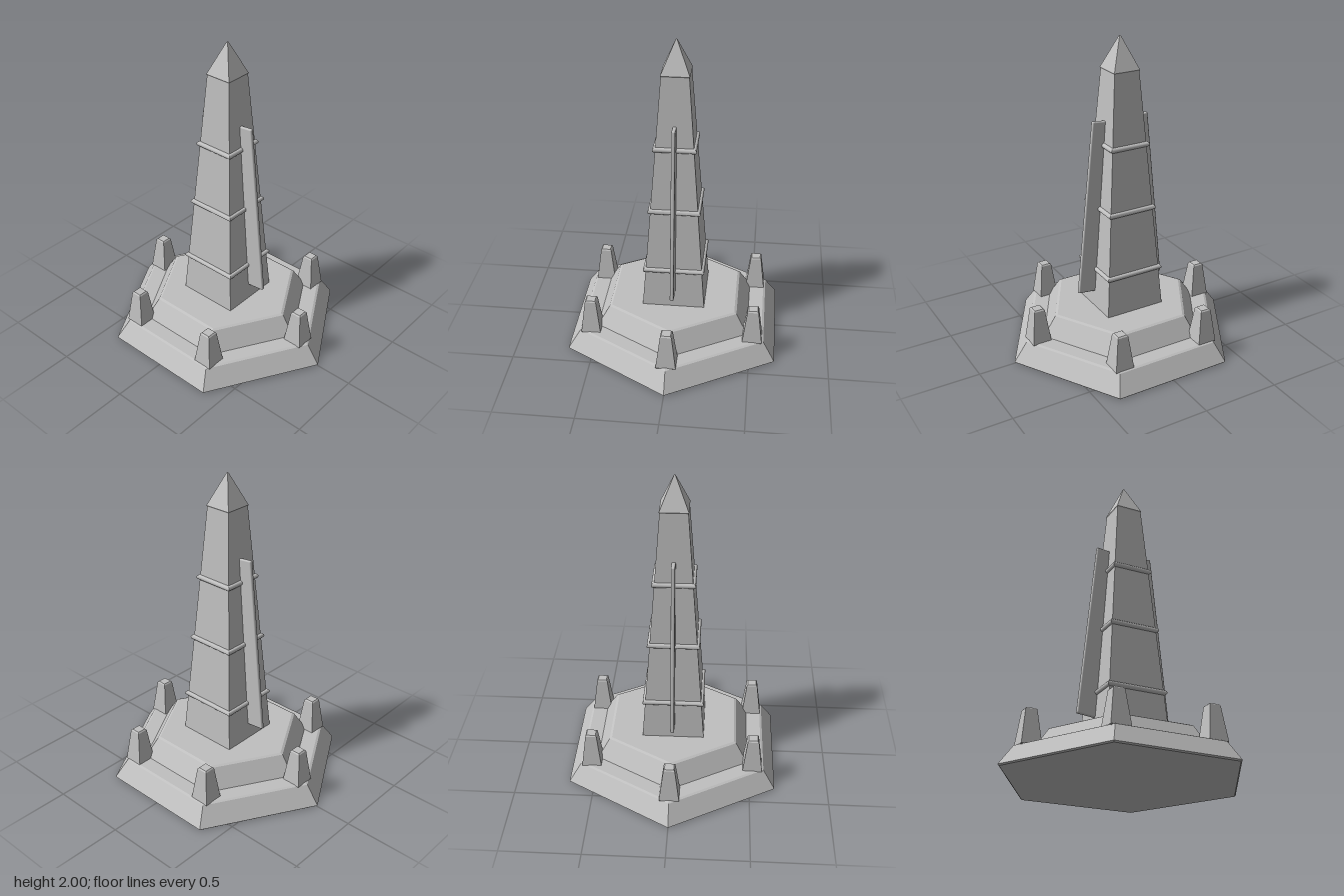
import * as THREE from 'three';
import { toCreasedNormals } from 'three/addons/utils/BufferGeometryUtils.js';
import { RoundedBoxGeometry } from 'three/addons/geometries/RoundedBoxGeometry.js';

const stone = new THREE.MeshStandardMaterial({ color: 0xc0c0c0 });
stone.name = 'grey stone';

const SQ = Math.SQRT2;

function part(name, geometry) {
  const mesh = new THREE.Mesh(geometry, stone);
  mesh.name = name;
  return mesh;
}

// Faceted solid from [radius, y] pairs, listed bottom to top
function faceted(profile, sides, turn = 0, crease = 0.05) {
  const points = profile.map(([r, y]) => new THREE.Vector2(r, y));
  return toCreasedNormals(new THREE.LatheGeometry(points, sides, turn), crease);
}

// Square solid from [half width, y] pairs
const square = (profile, crease) =>
  faceted(profile.map(([h, y]) => [h * SQ, y]), 4, Math.PI / 4, crease);

export function createModel() {
  const model = new THREE.Group();
  model.name = 'obelisk';

  // Stepped hexagonal plinth, corners on the z axis
  model.add(part('lowerPlinth', faceted(
    [[0, 0], [0.755, 0], [0.764, 0.008], [0.678, 0.125], [0.662, 0.131], [0, 0.131]], 6)));
  model.add(part('upperPlinth', faceted(
    [[0, 0.12], [0.56, 0.12], [0.555, 0.131], [0.472, 0.253], [0.455, 0.26], [0, 0.26]], 6)));

  // Tapering shaft and pointed cap
  model.add(part('shaft', square([[0, 0.255], [0.197, 0.255], [0.197, 0.265], [0.083, 1.8], [0, 1.8]])));
  model.add(part('cap', square([[0, 1.792], [0.083, 1.792], [0.087, 1.8], [0.005, 1.994], [0, 2]])));

  // Rounded bands around the shaft
  for (const y of [0.517, 0.93, 1.342]) {
    const half = 0.197 - (y - 0.265) * 0.0743;
    const profile = [];
    for (let i = 0; i <= 12; i++) {
      const a = (i / 12) * Math.PI * 2;
      profile.push([half + 0.016 * Math.cos(a), y + 0.016 * Math.sin(a)]);
    }
    model.add(part('band', square(profile, 0.6)));
  }

  // Leaning fins on the front and back
  const lean = Math.atan2(0.115, 1.125);
  for (const turn of [0, Math.PI]) {
    const holder = new THREE.Group();
    holder.name = turn ? 'backFin' : 'frontFin';
    const fin = part('fin', new RoundedBoxGeometry(0.024, 1.135, 0.12, 2, 0.008));
    fin.position.set(0, 0.931, 0.188);
    fin.rotation.x = -lean;
    holder.add(fin);
    holder.rotation.y = turn;
    model.add(holder);
  }

  // Tapered post at each corner of the plinth
  const postGeometry = square(
    [[0, 0.12], [0.056, 0.12], [0.062, 0.127], [0.035, 0.342], [0.028, 0.35], [0, 0.35]]);
  for (let i = 0; i < 6; i++) {
    const a = (i * Math.PI) / 3;
    const post = part('cornerPost', postGeometry);
    post.position.set(0.594 * Math.sin(a), 0, 0.594 * Math.cos(a));
    model.add(post);
  }

  return model;
}
